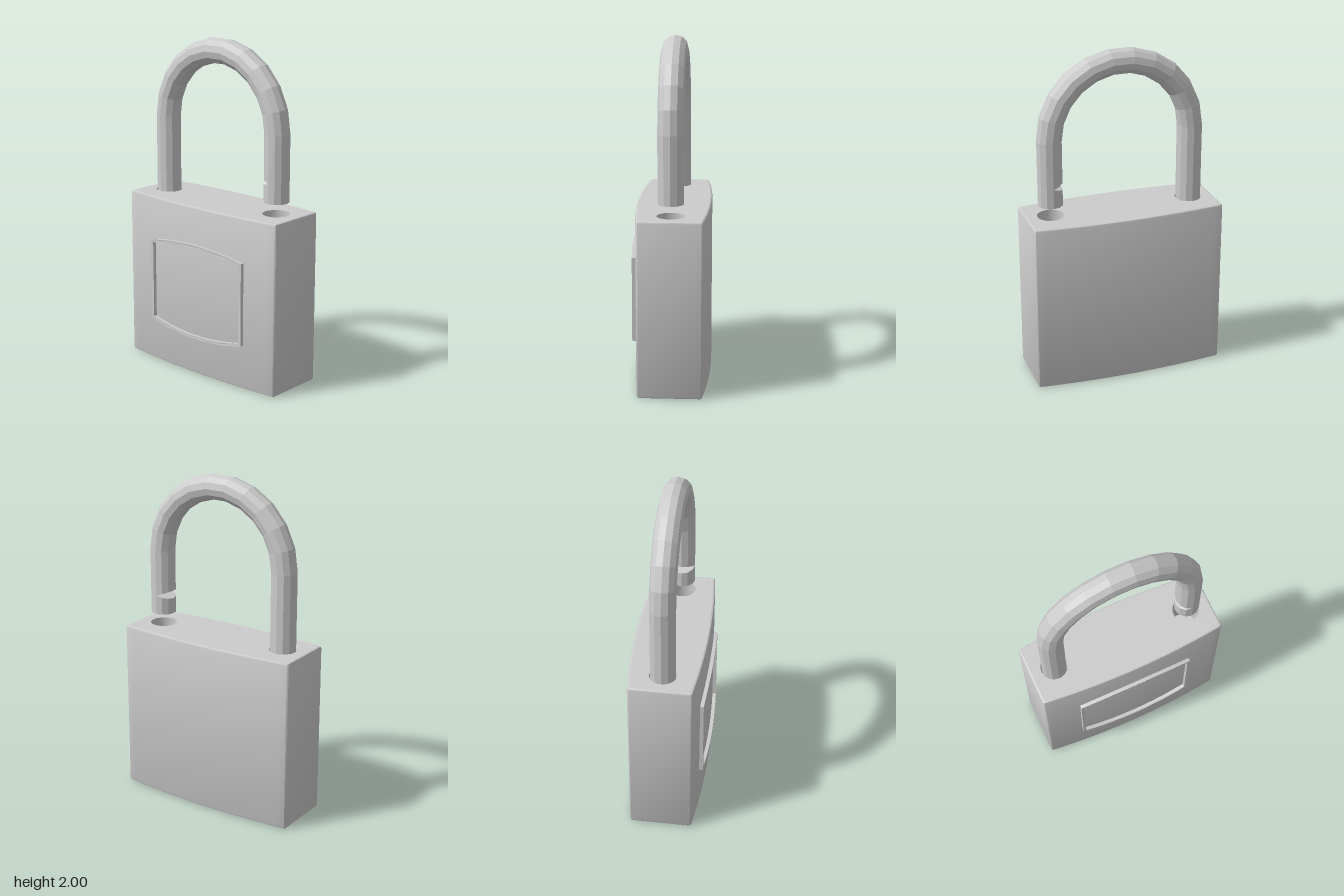
import * as THREE from 'three';
import { toCreasedNormals } from 'three/addons/utils/BufferGeometryUtils.js';

const W = 0.58, H = 1.035, ZC = -0.015;   // body half width, height, middle depth
const LEG = 0.43, R = 0.075, ARCH_Y = 1.5; // shackle leg offset, bar radius, arch start
const SIDES = 12;

const material = (options = {}) => new THREE.MeshStandardMaterial({ color: 0xcccccc, ...options });
const bulge = x => 0.22 - 0.035 * (x / W) ** 2; // half depth of the bowed body

function addMesh(group, name, geometry, mat) {
  const mesh = new THREE.Mesh(geometry, mat);
  mesh.name = name;
  group.add(mesh);
  return mesh;
}

// Skin over closed rings, with optional fan caps around the given end points
function loft(rings, startCap, endCap) {
  const out = [];
  const tri = (...points) => points.forEach(p => out.push(p.x, p.y, p.z));
  const n = rings[0].length, last = rings[rings.length - 1];
  for (let j = 0; j < n; j++) {
    const k = (j + 1) % n;
    for (let i = 0; i < rings.length - 1; i++) {
      const a = rings[i], b = rings[i + 1];
      tri(a[j], a[k], b[k]);
      tri(a[j], b[k], b[j]);
    }
    if (startCap) tri(rings[0][k], rings[0][j], startCap);
    if (endCap) tri(last[j], last[k], endCap);
  }
  const geometry = new THREE.BufferGeometry();
  geometry.setAttribute('position', new THREE.Float32BufferAttribute(out, 3));
  geometry.computeVertexNormals();
  return geometry;
}

// Footprint of the body, shrunk by an inset, as (x, z) pairs
function footprint(inset) {
  const front = [[-W, 0.178]];
  for (let i = 0; i <= 24; i++) {
    const x = (W - 0.007) * (i / 12 - 1);
    front.push([x, bulge(x)]);
  }
  front.push([W, 0.178]);
  const all = [...front, ...front.map(([x, z]) => [-x, -z])];
  return all.map(([x, z]) => [x * (1 - inset / W), ZC + z * (1 - inset / 0.22)]);
}

function buildBody() {
  const body = new THREE.Group();
  body.name = 'body';

  // Walls with softened top and bottom edges
  const bevel = 0.012;
  const rows = [[0, bevel], [bevel * 0.3, bevel * 0.3], [bevel, 0],
    [H - bevel, 0], [H - bevel * 0.3, bevel * 0.3], [H, bevel]];
  const rings = rows.map(([y, inset]) => footprint(inset).map(([x, z]) => new THREE.Vector3(x, y, z)));
  addMesh(body, 'bodyWalls', toCreasedNormals(loft(rings), 0.6), material());

  // Top and bottom faces, pierced by round holes
  const face = (name, y, up, holes) => {
    const s = up ? -1 : 1;
    const shape = new THREE.Shape(footprint(bevel).map(([x, z]) => new THREE.Vector2(x, s * z)));
    for (const [x, r] of holes) shape.holes.push(new THREE.Path().absarc(x, s * ZC, r, 0, Math.PI * 2, true));
    const geometry = new THREE.ShapeGeometry(shape);
    geometry.rotateX(s * Math.PI / 2);
    geometry.translate(0, y, 0);
    addMesh(body, name, geometry, material());
  };
  face('topFace', H, true, [[-LEG, 0.08], [LEG, 0.08]]);
  face('bottomFace', 0, false, [[0, 0.125]]);

  // Blind wells behind the holes
  const well = (name, x, r, mouth, floor) => {
    const profile = [[0, floor], [r, floor], [r, mouth]].map(p => new THREE.Vector2(...p));
    const geometry = toCreasedNormals(new THREE.LatheGeometry(profile, 24), 0.6);
    addMesh(body, name, geometry, material({ side: THREE.DoubleSide })).position.set(x, 0, ZC);
  };
  well('rightShackleHole', -LEG, 0.08, H, 0.75);
  well('leftShackleHole', LEG, 0.08, H, 0.75);
  well('keyHole', 0, 0.125, 0, 0.25);
  return body;
}

// Thin raised border bent to follow the bowed front
function buildPanelFrame() {
  const trace = (path, halfW, edge, rise) => {
    const points = [];
    for (const side of [-1, 1]) {
      for (let i = 0; i <= 24; i++) {
        const t = i / 12 - 1;
        points.push(new THREE.Vector2(-side * t * halfW, 0.52 + side * (edge + rise * (1 - t * t))));
      }
    }
    return path.setFromPoints(points);
  };
  const shape = trace(new THREE.Shape(), 0.363, 0.25, 0.04);
  shape.holes.push(trace(new THREE.Path(), 0.346, 0.237, 0.037));
  const geometry = new THREE.ExtrudeGeometry(shape, { depth: 0.032, bevelEnabled: false });
  const p = geometry.attributes.position;
  for (let i = 0; i < p.count; i++) p.setZ(i, p.getZ(i) - 0.01 + ZC + bulge(p.getX(i)));
  return toCreasedNormals(geometry, 0.6);
}

// Ring of the bar: centre (cx, cy), pointing outward at the given angle; heightAt may reshape y
function barRing(cx, cy, angle, heightAt) {
  return Array.from({ length: SIDES }, (_, j) => {
    const a = j / SIDES * Math.PI * 2, out = R * Math.cos(a);
    const x = cx + out * Math.cos(angle);
    return new THREE.Vector3(x, heightAt ? heightAt(x) : cy + out * Math.sin(angle), ZC + R * Math.sin(a));
  });
}

function buildShackle() {
  const shackle = new THREE.Group();
  shackle.name = 'shackle';
  const tip = 1.222; // height of the latch notch's inner edge
  const slope = rise => x => tip + rise * Math.max(0, (LEG - x) / R);
  const point = (x, y) => new THREE.Vector3(x, y, ZC);

  // Long leg, arch and short leg down to the notch
  const rings = [barRing(-LEG, 0.8, Math.PI)];
  const steps = 11;
  for (let i = 0; i <= steps; i++) {
    const a = Math.PI * (1 - i / steps);
    rings.push(barRing(LEG * Math.cos(a), ARCH_Y + LEG * Math.sin(a), a));
  }
  rings.push(barRing(LEG, 0, 0, slope(0.026)));
  addMesh(shackle, 'shackleBar', loft(rings, point(-LEG, 0.8), point(LEG, tip)), material({ flatShading: true }));

  // Free end below the notch
  const end = [barRing(LEG, 0, 0, slope(-0.022)), barRing(LEG, 1.105, 0)];
  addMesh(shackle, 'shackleTip', loft(end, point(LEG, tip), point(LEG, 1.105)), material({ flatShading: true }));
  return shackle;
}

export function createModel() {
  const model = new THREE.Group();
  model.name = 'padlock';
  model.add(buildBody(), buildShackle());
  addMesh(model, 'panelFrame', buildPanelFrame(), material());
  return model;
}
